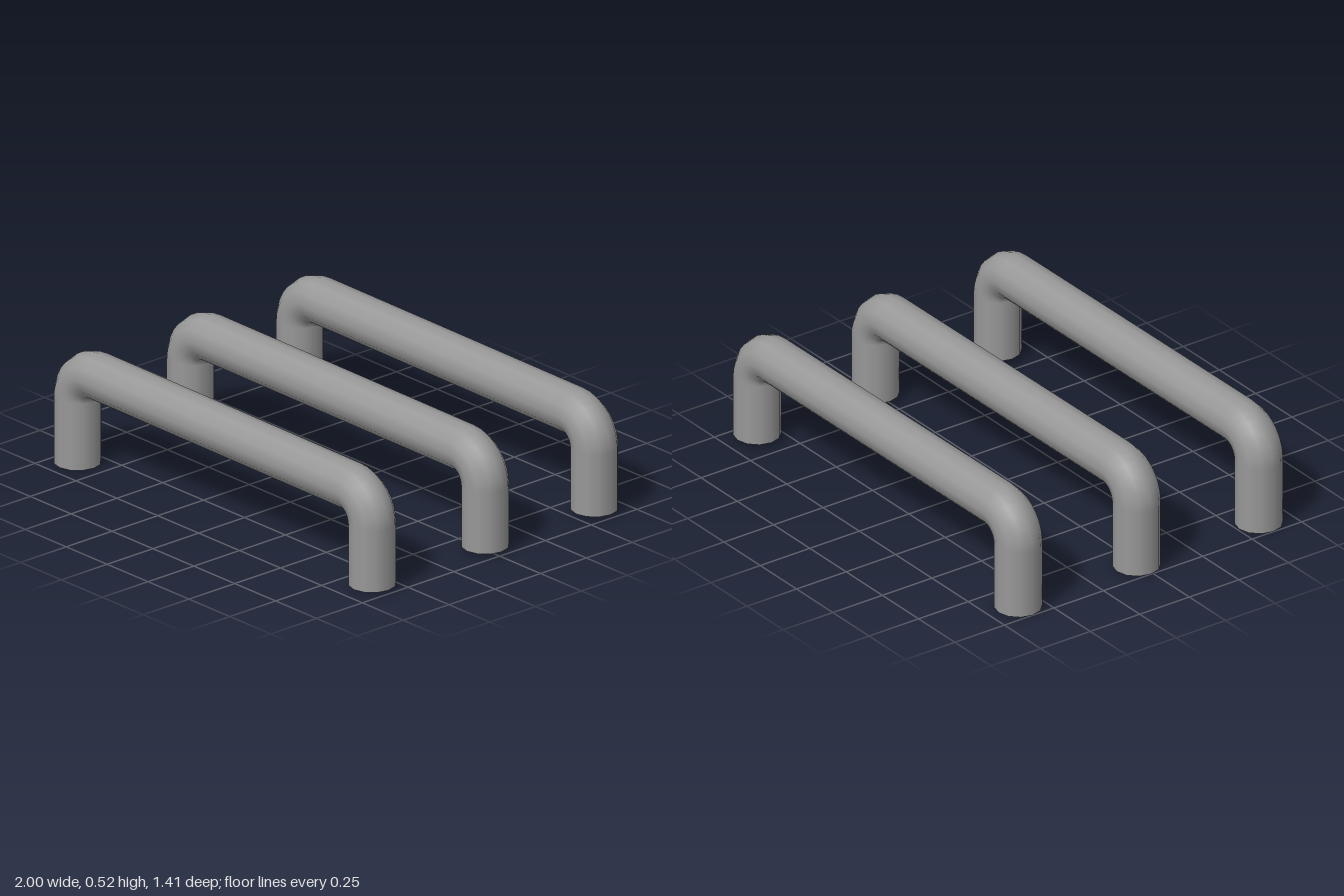
import * as THREE from 'three';

const RADIUS = 0.099, SIDES = 12, BEND = 0.125, BEND_STEPS = 8;
const LEG_X = 0.9, FEET = { left: 0.015, right: 0 };
const barY = (x) => 0.412 - 0.005 * x / LEG_X; // the bar drops slightly to +x

// Path stations: centre point plus the in-plane direction to the outside of the bend
function pathStations() {
  const stations = [{ x: -LEG_X, y: FEET.right, nx: -1, ny: 0 }];
  for (const side of [-1, 1]) {
    const cx = side * (LEG_X - BEND), cy = barY(cx) - BEND;
    for (let i = 0; i <= BEND_STEPS; i++) {
      const k = side < 0 ? i : BEND_STEPS - i;
      const t = (k / BEND_STEPS) * Math.PI / 2;
      const nx = side * Math.cos(t), ny = Math.sin(t);
      stations.push({ x: cx + BEND * nx, y: cy + BEND * ny, nx, ny });
    }
  }
  stations.push({ x: LEG_X, y: FEET.left, nx: 1, ny: 0 });
  return stations;
}

// Round rod swept along the stations, with smooth radial normals
function rodGeometry() {
  const pos = [], nor = [], idx = [];
  const stations = pathStations(), row = SIDES + 1;
  stations.forEach((s, i) => {
    for (let j = 0; j <= SIDES; j++) {
      const a = (j / SIDES) * Math.PI * 2, c = Math.cos(a), d = Math.sin(a);
      const n = [c * s.nx, c * s.ny, d];
      nor.push(...n);
      pos.push(s.x + RADIUS * n[0], s.y + RADIUS * n[1], RADIUS * n[2]);
      if (i > 0 && j > 0) {
        const p = (i - 1) * row + j - 1, q = p + row;
        idx.push(p, p + 1, q, q, p + 1, q + 1);
      }
    }
  });
  const g = new THREE.BufferGeometry();
  g.setAttribute('position', new THREE.Float32BufferAttribute(pos, 3));
  g.setAttribute('normal', new THREE.Float32BufferAttribute(nor, 3));
  g.setIndex(idx);
  return g;
}

export function createModel() {
  const model = new THREE.Group();
  model.name = 'handleSet';
  const material = new THREE.MeshStandardMaterial({ color: 0x989898 });
  const rod = rodGeometry();
  const cap = new THREE.CircleGeometry(RADIUS, SIDES).rotateX(Math.PI / 2);

  // Three identical handles, one behind the other
  [['front', 0.607], ['middle', -0.01], ['back', -0.607]].forEach(([place, z]) => {
    const handle = new THREE.Group();
    handle.name = `${place}Handle`;
    handle.position.z = z;

    const bar = new THREE.Mesh(rod, material);
    bar.name = 'bentRod';
    handle.add(bar);

    // Flat undersides of the two legs
    for (const [name, x] of [['right', -LEG_X], ['left', LEG_X]]) {
      const end = new THREE.Mesh(cap, material);
      end.name = `${name}LegEnd`;
      end.position.set(x, FEET[name], 0);
      handle.add(end);
    }
    model.add(handle);
  });
  return model;
}
